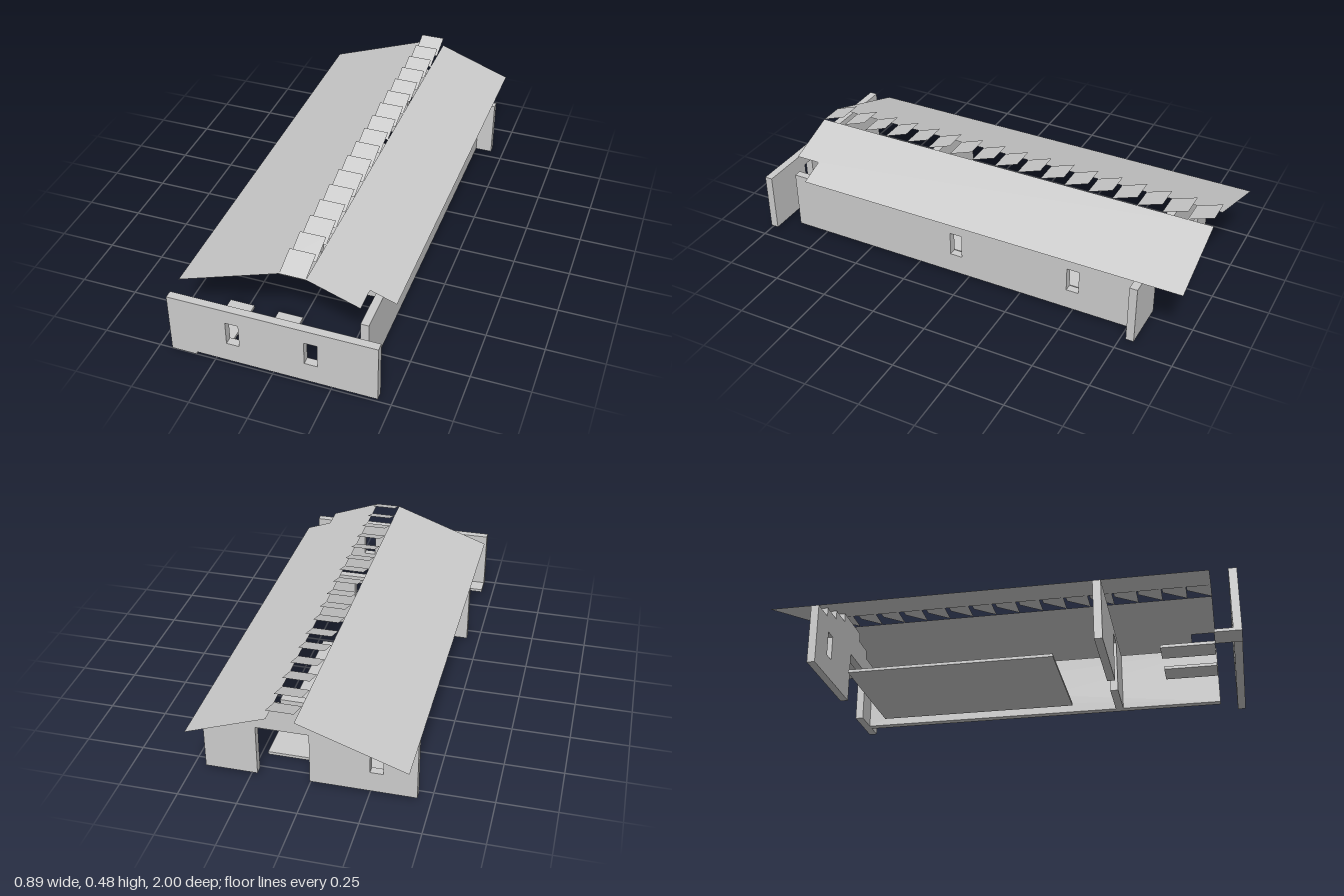
import * as THREE from 'three';

const M = 1 / 9;        // one building metre in model units
const SLAB = 0.013;     // slab thickness, also the foot of the walls
const EAVE = 0.28;      // wall height
const DOOR = 0.245;     // door head height
const THICK = 0.035;    // wall thickness
const FRONT = 8 * M;    // front edge of the roof

export function createModel() {
  const model = new THREE.Group();
  model.name = 'house';

  const plaster = new THREE.MeshStandardMaterial({ color: 0xcccccc, side: THREE.DoubleSide });
  plaster.name = 'pale grey';

  function add(name, geometry, parent = model) {
    const mesh = new THREE.Mesh(geometry, plaster);
    mesh.name = name;
    parent.add(mesh);
    return mesh;
  }

  // Wall from an outline, with a window hole at each given centre
  function wall(name, outline, windows = []) {
    const shape = new THREE.Shape(outline.map(([x, y]) => new THREE.Vector2(x, y)));
    for (const c of windows) {
      const [l, r, b, t] = [c - M / 4, c + M / 4, 0.106, 0.216];
      shape.holes.push(new THREE.Path([[l, b], [l, t], [r, t], [r, b]].map(([x, y]) => new THREE.Vector2(x, y))));
    }
    return add(name, new THREE.ExtrudeGeometry(shape, { depth: THICK, bevelEnabled: false }));
  }

  // Open sheet from a planar outline of 3D points
  function sheet(name, points, parent) {
    const geometry = new THREE.BufferGeometry().setFromPoints(points.map((p) => new THREE.Vector3(...p)));
    const index = [];
    for (let i = 1; i < points.length - 1; i++) index.push(0, i, i + 1);
    geometry.setIndex(index);
    const flat = geometry.toNonIndexed();
    flat.computeVertexNormals();
    return add(name, flat, parent);
  }

  // Free-standing front wall with two windows
  wall('frontWall', [[-4 * M, SLAB], [4 * M, SLAB], [4 * M, EAVE], [-4 * M, EAVE]], [-1.5 * M, 1.5 * M])
    .position.z = 1 - THICK;

  // Long side wall, drawn along -z and turned into place
  const side = wall('sideWall', [[-FRONT, SLAB], [7 * M, SLAB], [7 * M, EAVE], [-FRONT, EAVE]], [-0.5 * M, 4.5 * M]);
  side.rotation.y = Math.PI / 2;
  side.position.x = 3 * M;

  // Cross wall with a narrow doorway
  wall('crossWall', [
    [-4 * M, SLAB], [0, SLAB], [0, DOOR], [M, DOOR], [M, SLAB], [3 * M, SLAB], [3 * M, EAVE], [-4 * M, EAVE],
  ]).position.z = 4 * M - THICK;

  // Back wall with a wide doorway, a window and a stepped gable
  const back = [[-4 * M, SLAB], [0, SLAB], [0, DOOR], [2 * M, DOOR], [2 * M, SLAB], [4 * M, SLAB]];
  const steps = [[4, EAVE], [3, EAVE], [3, 0.32], [2, 0.32], [2, 0.36], [1, 0.36], [1, 0.4]];
  for (const [x, y] of steps) back.push([x * M, y]);
  for (const [x, y] of steps.slice().reverse()) back.push([-x * M, y]);
  wall('backWall', back, [-2.5 * M]).position.z = -7 * M - THICK;

  // Floor slabs: [name, x0, x1, z0, z1] in metres
  for (const [name, x0, x1, z0, z1] of [
    ['mainFloor', -3, 2, -6, 2],
    ['innerStep', -1, 0, 6, 8],
    ['outerStep', -3, -2, 6, 8],
    ['cornerStep', -4, -3, 8, 9],
  ]) {
    add(name, new THREE.BoxGeometry((x1 - x0) * M, SLAB, (z1 - z0) * M))
      .position.set((x0 + x1) * M / 2, SLAB / 2, (z0 + z1) * M / 2);
  }

  // Roof planes; the one on +x is notched at its front corner
  sheet('roofRight', [[-4 * M, EAVE, FRONT], [0, 0.44, FRONT], [0, 0.44, -1], [-4 * M, EAVE, -1]]);
  sheet('roofLeft', [
    [3 * M, 0.36, 7 * M], [4 * M, 0.32, 7 * M], [4 * M, 0.32, -1],
    [M, 0.44, -1], [M, 0.44, FRONT], [3 * M, 0.36, FRONT],
  ]);

  // Row of tilted louvres over the ridge gap
  const louvres = new THREE.Group();
  louvres.name = 'ridgeLouvres';
  model.add(louvres);
  for (let i = 0; i < 17; i++) {
    const z = FRONT - i * M;
    sheet('louvre', [[0, 0.44, z], [M, 0.44, z], [M, 0.48, z - M], [0, 0.48, z - M]], louvres);
  }

  return model;
}
